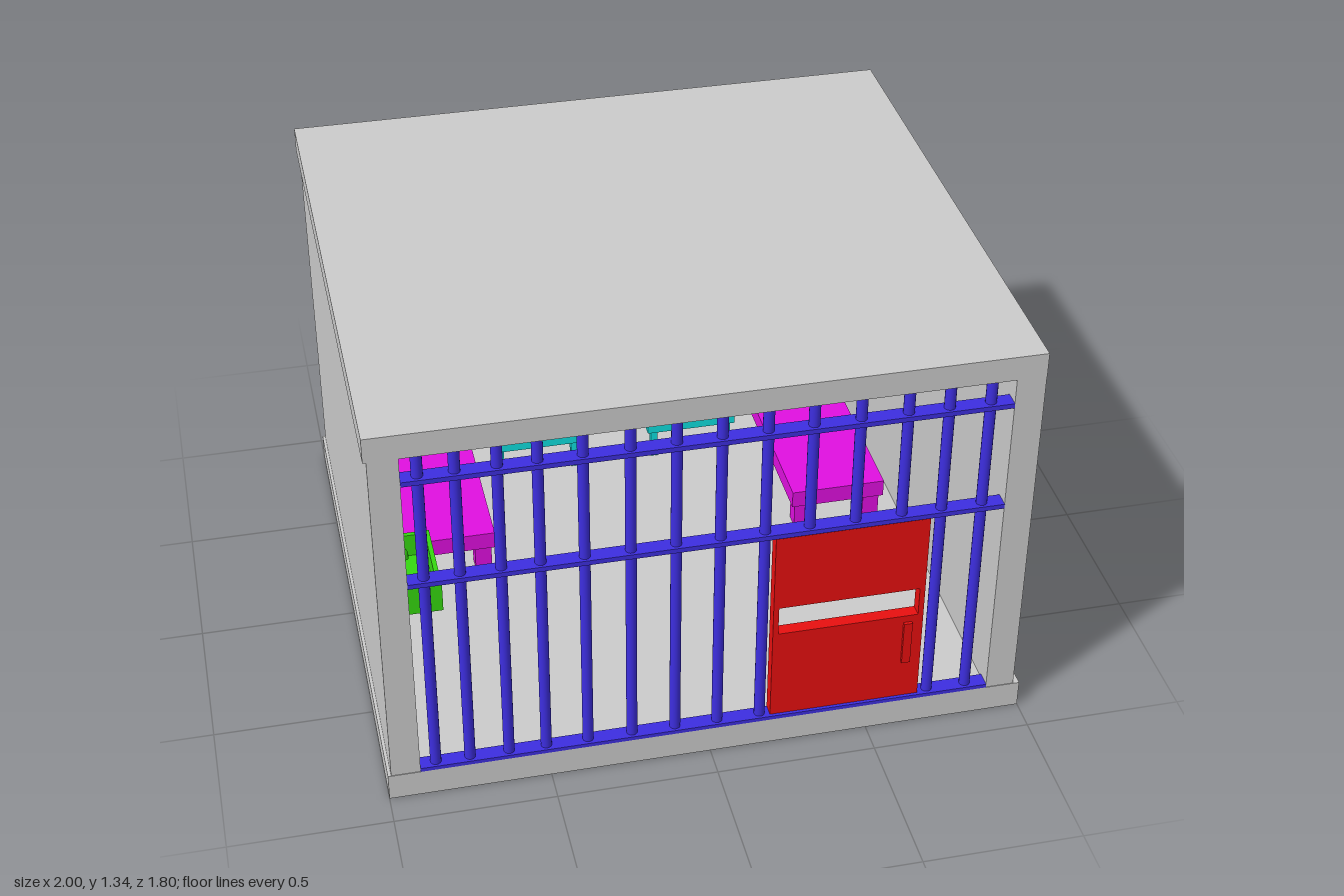
import * as THREE from 'three';

const material = (color) => new THREE.MeshStandardMaterial({ color });
const GREY = material(0xcccccc);
const BLUE = material(0x3d2ee0);
const RED = material(0xe81010);
const MAGENTA = material(0xe010e0);
const CYAN = material(0x10dede);
const YELLOW = material(0xe6de10);
const GREEN = material(0x35d810);
const PINK = material(0xf09090);

// Box given by its lower and upper limits on each axis
function box(parent, name, mat, [x0, x1], [y0, y1], [z0, z1]) {
  const mesh = new THREE.Mesh(new THREE.BoxGeometry(x1 - x0, y1 - y0, z1 - z0), mat);
  mesh.position.set((x0 + x1) / 2, (y0 + y1) / 2, (z0 + z1) / 2);
  mesh.name = name;
  parent.add(mesh);
  return mesh;
}

function tube(parent, name, mat, points, radius) {
  const curve = new THREE.CatmullRomCurve3(points.map((p) => new THREE.Vector3(...p)));
  const mesh = new THREE.Mesh(new THREE.TubeGeometry(curve, 20, radius, 12), mat);
  mesh.name = name;
  parent.add(mesh);
}

function group(parent, name) {
  const g = new THREE.Group();
  g.name = name;
  parent.add(g);
  return g;
}

// Rectangle outline as a closed path
function rect(path, x0, x1, y0, y1) {
  path.moveTo(x0, y0).lineTo(x1, y0).lineTo(x1, y1).lineTo(x0, y1).closePath();
  return path;
}

// Four legs set in from the corners of a top
function legs(parent, name, mat, [x0, x1], [y0, y1], [z0, z1], size, inset) {
  for (const x of [x0 + inset, x1 - inset - size]) {
    for (const z of [z0 + inset, z1 - inset - size]) {
      box(parent, name, mat, [x, x + size], [y0, y1], [z, z + size]);
    }
  }
}

function buildShell(root) {
  const shell = group(root, 'shell');
  box(shell, 'floor', GREY, [-1, 1], [0, 0.09], [-0.9, 0.9]);
  box(shell, 'roof', GREY, [-1, 0.98], [1.26, 1.34], [-0.9, 0.9]);
  box(shell, 'rightWall', GREY, [-0.99, -0.9], [0.09, 1.26], [-0.9, 0.898]);
  box(shell, 'leftWall', GREY, [0.89, 0.98], [0.09, 1.26], [-0.9, 0.898]);
  box(shell, 'backWall', GREY, [-0.9, 0.89], [0.09, 1.26], [-0.9, -0.81]);
  box(shell, 'ceilingLamp', PINK, [-0.04, 0.095], [1.22, 1.26], [-0.07, 0.07]);
}

function buildBars(root) {
  const bars = group(root, 'bars');
  const xs = [-0.85, -0.745, -0.625, -0.51, -0.38, -0.243, -0.108, 0.025, 0.16,
    0.295, 0.435, 0.577, 0.70, 0.825];
  for (const x of xs) {
    // Bars above the door stop at the middle rail
    const bottom = x > 0.2 && x < 0.65 ? 0.805 : 0.09;
    const bar = new THREE.Mesh(new THREE.CylinderGeometry(0.017, 0.017, 1.26 - bottom, 16), BLUE);
    bar.position.set(x, (1.26 + bottom) / 2, 0.875);
    bar.name = 'verticalBar';
    bars.add(bar);
  }
  for (const y of [0.095, 0.805, 1.17]) {
    box(bars, 'rail', BLUE, [-0.9, 0.89], [y - 0.008, y + 0.008], [0.85, 0.9]);
  }
}

function buildDoor(root) {
  const door = group(root, 'door');
  const shape = rect(new THREE.Shape(), 0.19, 0.665, 0.105, 0.79);
  shape.holes.push(rect(new THREE.Path(), 0.207, 0.648, 0.425, 0.525));
  const panel = new THREE.Mesh(
    new THREE.ExtrudeGeometry(shape, { depth: 0.04, bevelEnabled: false }), RED);
  panel.position.z = 0.852;
  panel.name = 'doorPanel';
  door.add(panel);
  box(door, 'doorHandle', RED, [0.603, 0.63], [0.245, 0.4], [0.88, 0.902]);
}

function buildBed(root, x) {
  const bed = group(root, 'bed');
  const xr = [x - 0.16, x + 0.16];
  box(bed, 'mattress', MAGENTA, xr, [0.18, 0.24], [-0.8, -0.02]);
  legs(bed, 'bedLeg', MAGENTA, xr, [0.09, 0.18], [-0.8, -0.02], 0.055, 0.012);
  box(bed, 'pillow', YELLOW, [x - 0.11, x + 0.11], [0.24, 0.268], [-0.77, -0.58]);
}

function buildTable(root, x) {
  const table = group(root, 'table');
  const xr = [x - 0.157, x + 0.157];
  box(table, 'tableTop', CYAN, xr, [0.197, 0.23], [-0.8, -0.52]);
  legs(table, 'tableLeg', CYAN, xr, [0.09, 0.197], [-0.8, -0.52], 0.025, 0.013);
}

function buildSink(root) {
  const sink = group(root, 'sink');
  const [z0, z1] = [0.24, 0.52];
  // Basin floor and four sides
  box(sink, 'basinFloor', GREEN, [-0.9, -0.76], [0.39, 0.41], [z0, z1]);
  box(sink, 'basinBack', GREEN, [-0.9, -0.87], [0.41, 0.49], [z0, z1]);
  box(sink, 'basinFront', GREEN, [-0.775, -0.76], [0.41, 0.49], [z0, z1]);
  for (const z of [z0, z1 - 0.015]) {
    box(sink, 'basinSide', GREEN, [-0.87, -0.775], [0.41, 0.49], [z, z + 0.015]);
  }
  // Tap arching over the basin, drain elbow running into the wall
  const z = (z0 + z1) / 2;
  tube(sink, 'tap', GREEN,
    [[-0.888, 0.49, z], [-0.888, 0.525, z], [-0.873, 0.54, z], [-0.855, 0.525, z], [-0.853, 0.5, z]], 0.01);
  tube(sink, 'drainPipe', GREEN,
    [[-0.815, 0.4, z], [-0.817, 0.37, z], [-0.835, 0.342, z], [-0.865, 0.332, z], [-0.905, 0.332, z]], 0.022);
}

export function createModel() {
  const root = new THREE.Group();
  root.name = 'prisonCell';
  buildShell(root);
  buildBars(root);
  buildDoor(root);
  for (const x of [-0.675, 0.665]) buildBed(root, x);
  for (const x of [-0.28, 0.27]) buildTable(root, x);
  buildSink(root);
  return root;
}
